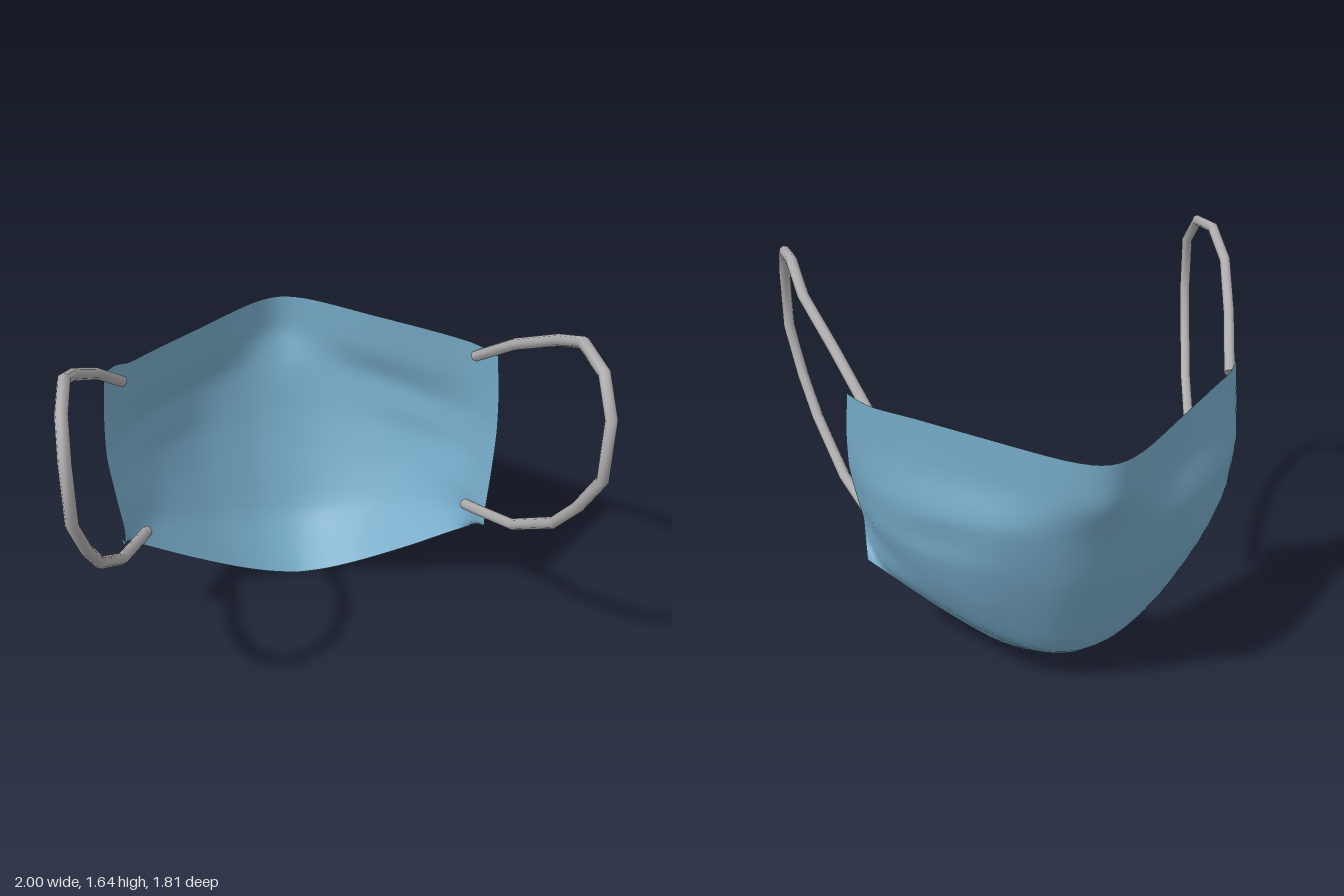
import * as THREE from 'three';

const V = (p) => new THREE.Vector3(...p);
const mirror = (p) => [-p[0], p[1], p[2]];

// Half cross-sections of the fabric, top hem to chin, each from centre to side edge
const ROWS = [
  [[0, 1.19, -0.905], [0.15, 1.195, -0.835], [0.4, 1.21, -0.595], [0.62, 1.225, -0.38], [0.77, 1.23, -0.225], [0.84, 1.235, -0.08]],
  [[0, 1.01, -0.9], [0.15, 1.02, -0.835], [0.39, 1.01, -0.625], [0.62, 1.02, -0.405], [0.78, 1.05, -0.225], [0.85, 1.06, -0.055]],
  [[0, 0.84, -0.82], [0.18, 0.86, -0.79], [0.4, 0.86, -0.67], [0.64, 0.86, -0.435], [0.785, 0.88, -0.23], [0.845, 0.89, -0.02]],
  [[0, 0.6, -0.74], [0.18, 0.62, -0.72], [0.42, 0.65, -0.61], [0.65, 0.68, -0.4], [0.77, 0.7, -0.2], [0.815, 0.72, 0.045]],
  [[0, 0.38, -0.65], [0.18, 0.4, -0.63], [0.4, 0.44, -0.53], [0.6, 0.5, -0.36], [0.73, 0.55, -0.15], [0.785, 0.58, 0.1]],
  [[0, 0.16, -0.54], [0.16, 0.18, -0.52], [0.36, 0.25, -0.43], [0.56, 0.35, -0.28], [0.72, 0.43, -0.1], [0.78, 0.49, 0.115]],
  [[0, 0, -0.3], [0.14, 0.02, -0.285], [0.3, 0.085, -0.24], [0.5, 0.21, -0.15], [0.68, 0.34, -0.06], [0.79, 0.42, 0]],
];

// One ear loop, upper end to lower end
const LOOP = [
  [0.77, 1.19, -0.18], [0.86, 1.37, 0.07], [0.945, 1.52, 0.34], [0.965, 1.615, 0.55],
  [0.975, 1.595, 0.76], [0.975, 1.47, 0.88], [0.975, 1.21, 0.88], [0.94, 1.01, 0.76],
  [0.9, 0.85, 0.63], [0.825, 0.66, 0.36], [0.75, 0.575, 0.12], [0.715, 0.54, 0.01],
];

function makeFabric(material) {
  const curves = ROWS.map((row) => new THREE.CatmullRomCurve3(
    [...row.slice(1).reverse().map(mirror), ...row].map(V), false, 'catmullrom', 0.45));
  const geo = new THREE.PlaneGeometry(1, 1, 40, 24);
  const pos = geo.attributes.position;
  for (let i = 0; i < pos.count; i++) {
    // u is reversed so that the outside of the fabric is its front face
    const u = 0.5 - pos.getX(i), v = 0.5 - pos.getY(i);
    const column = curves.map((c) => c.getPoint(u));
    const p = new THREE.CatmullRomCurve3(column, false, 'catmullrom', 0.35).getPoint(v);
    // soft cheek pleat
    const pleat = Math.exp(-(((Math.abs(p.x) - 0.58) / 0.14) ** 2) - ((p.y - 0.74) / 0.06) ** 2);
    p.x -= Math.sign(p.x) * 0.01 * pleat;
    p.z += 0.01 * pleat;
    // uneven right side: raised, wider lower edge and turned-up top corner
    const side = Math.max(0, -p.x);
    const top = Math.max(0, 1 - v * 6);
    p.y += 0.1 * v * side + 0.045 * top * THREE.MathUtils.smoothstep(side, 0.72, 0.83);
    p.x -= 0.05 * v * side;
    pos.setXYZ(i, p.x, p.y, p.z);
  }
  geo.computeVertexNormals();
  const mesh = new THREE.Mesh(geo, material);
  mesh.name = 'maskFabric';
  return mesh;
}

function makeLoop(points, name, material) {
  const group = new THREE.Group();
  group.name = name;
  const curve = new THREE.CatmullRomCurve3(points.map(V));
  // sample at the control points so the cord keeps its straight segments
  curve.getPointAt = (t, target) => curve.getPoint(t, target);
  curve.getTangentAt = (t, target) => curve.getTangent(t, target);
  const cord = new THREE.Mesh(new THREE.TubeGeometry(curve, points.length - 1, 0.025, 8), material);
  cord.name = 'earCord';
  group.add(cord);
  // flat cord ends
  for (const t of [0, 1]) {
    const cap = new THREE.Mesh(new THREE.CircleGeometry(0.025, 8), material);
    const dir = curve.getTangent(t).multiplyScalar(t ? 1 : -1);
    cap.position.copy(curve.getPoint(t));
    cap.quaternion.setFromUnitVectors(new THREE.Vector3(0, 0, 1), dir);
    cap.name = 'cordEnd';
    group.add(cap);
  }
  return group;
}

export function createModel() {
  const fabric = new THREE.MeshStandardMaterial({ color: 0x74a8c5, side: THREE.DoubleSide });
  fabric.name = 'blueFabric';
  const elastic = new THREE.MeshStandardMaterial({ color: 0xadabab });
  elastic.name = 'greyElastic';

  const model = new THREE.Group();
  model.name = 'faceMask';
  model.add(
    makeFabric(fabric),
    makeLoop(LOOP, 'leftEarLoop', elastic),
    makeLoop(LOOP.map(mirror), 'rightEarLoop', elastic),
  );
  return model;
}
